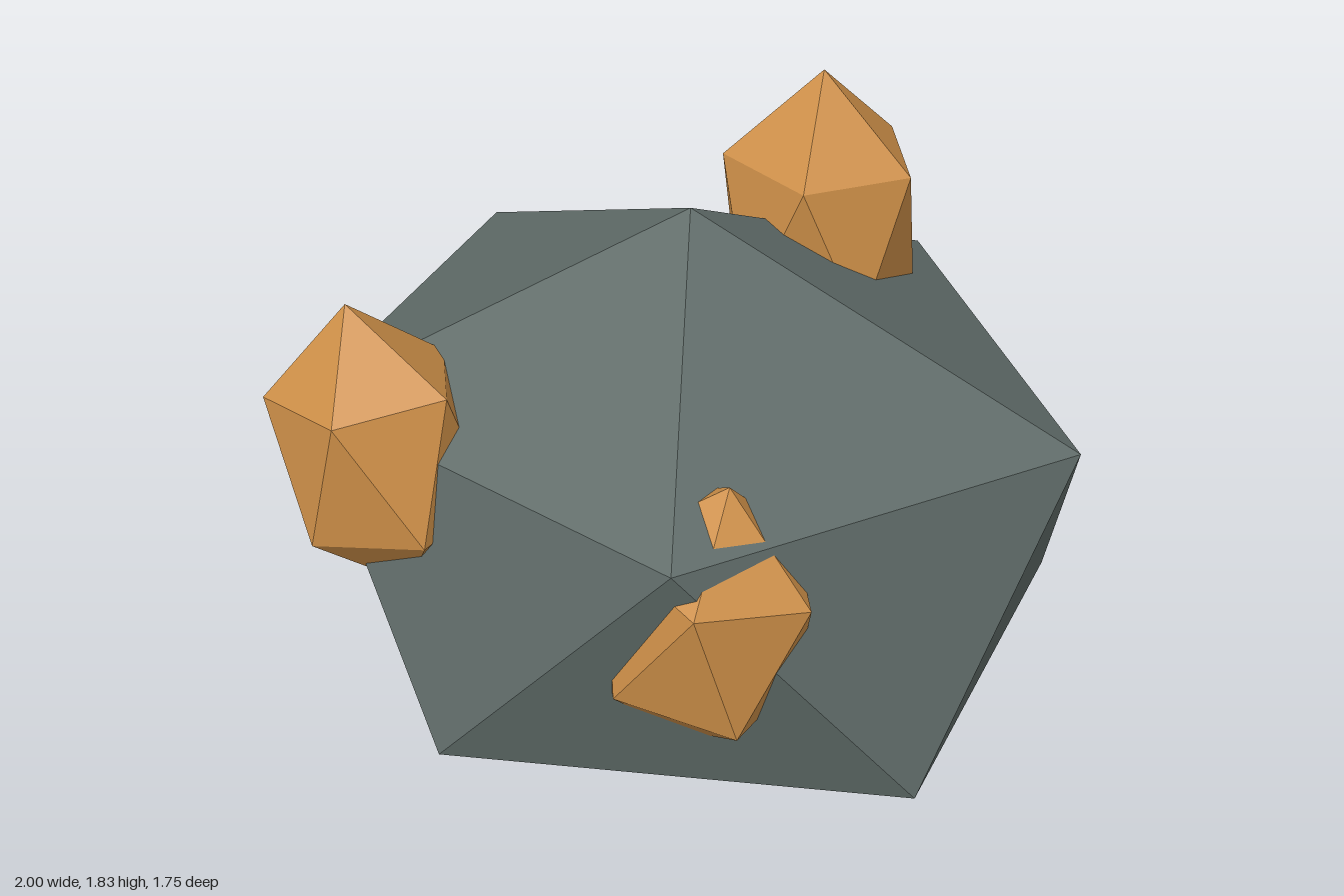
import * as THREE from 'three';
import { ConvexGeometry } from 'three/addons/geometries/ConvexGeometry.js';

const stone = new THREE.MeshStandardMaterial({ color: 0x5f6b68, flatShading: true });
const ore = new THREE.MeshStandardMaterial({ color: 0xcd8f48, flatShading: true });

// Upright icosahedron: apex, five-sided ring, and their mirror through the centre
function icosahedron(ring, ringHeight, apexHeight) {
  const upper = [new THREE.Vector3(0, apexHeight, 0)];
  for (const [x, z] of ring) upper.push(new THREE.Vector3(x, ringHeight, z));
  return new ConvexGeometry([...upper, ...upper.map((p) => p.clone().negate())]);
}

function regularRing(rx, rz) {
  return Array.from({ length: 5 }, (_, i) => {
    const a = (i * Math.PI * 2) / 5;
    return [rx * Math.cos(a), rz * Math.sin(a)];
  });
}

export function createModel() {
  const group = new THREE.Group();
  group.name = 'oreRock';

  // Squashed main boulder
  const boulderRing = [[1, -0.165], [0.445, 0.775], [-0.725, 0.645], [-0.89, -0.387], [0.175, -0.877]];
  const boulder = new THREE.Mesh(icosahedron(boulderRing, 0.364, 0.813), stone);
  boulder.name = 'boulder';
  boulder.position.y = 0.813;
  group.add(boulder);

  // Ore nuggets half sunk into the boulder
  const nuggets = [
    { name: 'backNugget', at: [0.095, 1.414, -0.468], rx: 0.257, rz: 0.237, h: 0.416, tilt: 0 },
    { name: 'frontRightNugget', at: [-0.494, 1.113, 0.643], rx: 0.258, rz: 0.226, h: 0.39, tilt: 0.17 },
    { name: 'frontLeftNugget', at: [0.39, 0.912, 0.555], rx: 0.265, rz: 0.227, h: 0.394, tilt: -0.18 },
  ];
  for (const { name, at, rx, rz, h, tilt } of nuggets) {
    const nugget = new THREE.Mesh(icosahedron(regularRing(rx, rz), h / Math.sqrt(5), h), ore);
    nugget.name = name;
    nugget.position.set(...at);
    nugget.rotation.z = tilt;
    group.add(nugget);
  }
  return group;
}
